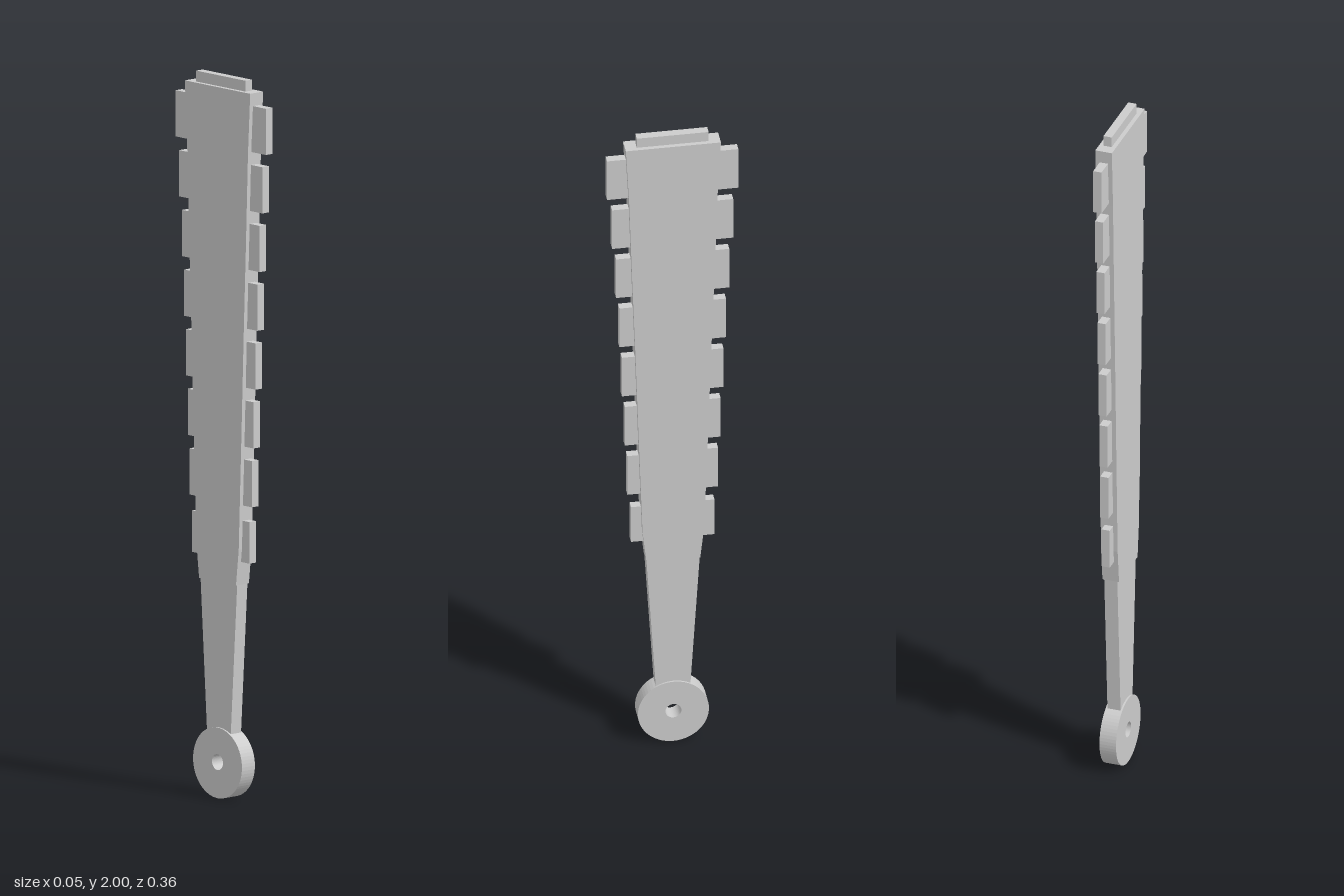
import * as THREE from 'three';

const material = new THREE.MeshStandardMaterial({ color: 0xcccccc, flatShading: true });
const smooth = new THREE.MeshStandardMaterial({ color: 0xcccccc });

// Plate drawn in (z, y) and extruded evenly about x = 0
function plate(name, shape, thickness, mat = material) {
  const geo = new THREE.ExtrudeGeometry(shape, { depth: thickness, bevelEnabled: false, curveSegments: 32 });
  geo.translate(0, 0, -thickness / 2);
  geo.rotateY(-Math.PI / 2);
  const mesh = new THREE.Mesh(geo, mat);
  mesh.name = name;
  return mesh;
}

// Symmetric outline from [half width, height] pairs, bottom to top
function symmetricShape(profile) {
  const right = profile.map(([z, y]) => new THREE.Vector2(z, y));
  const left = profile.map(([z, y]) => new THREE.Vector2(-z, y)).reverse();
  return new THREE.Shape([...right, ...left]);
}

function box(name, w, h, d, y, z) {
  const mesh = new THREE.Mesh(new THREE.BoxGeometry(w, h, d), material);
  mesh.name = name;
  mesh.position.set(0, y, z);
  return mesh;
}

export function createModel() {
  const model = new THREE.Group();
  model.name = 'toothedClub';

  // Broad blade, tapering toward the handle
  model.add(plate('blade', symmetricShape([
    [0.074, 0.6], [0.085, 0.7], [0.096, 1.02], [0.105, 1.3],
    [0.114, 1.55], [0.122, 1.8], [0.131, 1.97],
  ]), 0.048));

  // Slimmer handle
  model.add(plate('handle', symmetricShape([[0.047, 0.17], [0.074, 0.61]]), 0.038));

  // Round pommel with a hole through it
  const disc = new THREE.Shape().absarc(0, 0.098, 0.098, 0, Math.PI * 2);
  disc.holes.push(new THREE.Path().absarc(0, 0.1, 0.022, 0, Math.PI * 2, true));
  model.add(plate('pommel', disc, 0.048, smooth));

  // Tooth in the tip
  model.add(box('tipTooth', 0.024, 0.06, 0.198, 1.97, 0));

  // Eight teeth along each edge, growing toward the tip
  const reach = [0.115, 0.125, 0.132, 0.14, 0.147, 0.156, 0.167, 0.181];
  reach.forEach((outer, i) => {
    const y = 0.722 + i * 0.164;
    const height = i === 0 ? 0.115 : 0.128;
    for (const side of [1, -1]) {
      model.add(box(side > 0 ? 'frontTooth' : 'backTooth', 0.024, height, 0.07, y, side * (outer - 0.035)));
    }
  });

  return model;
}
